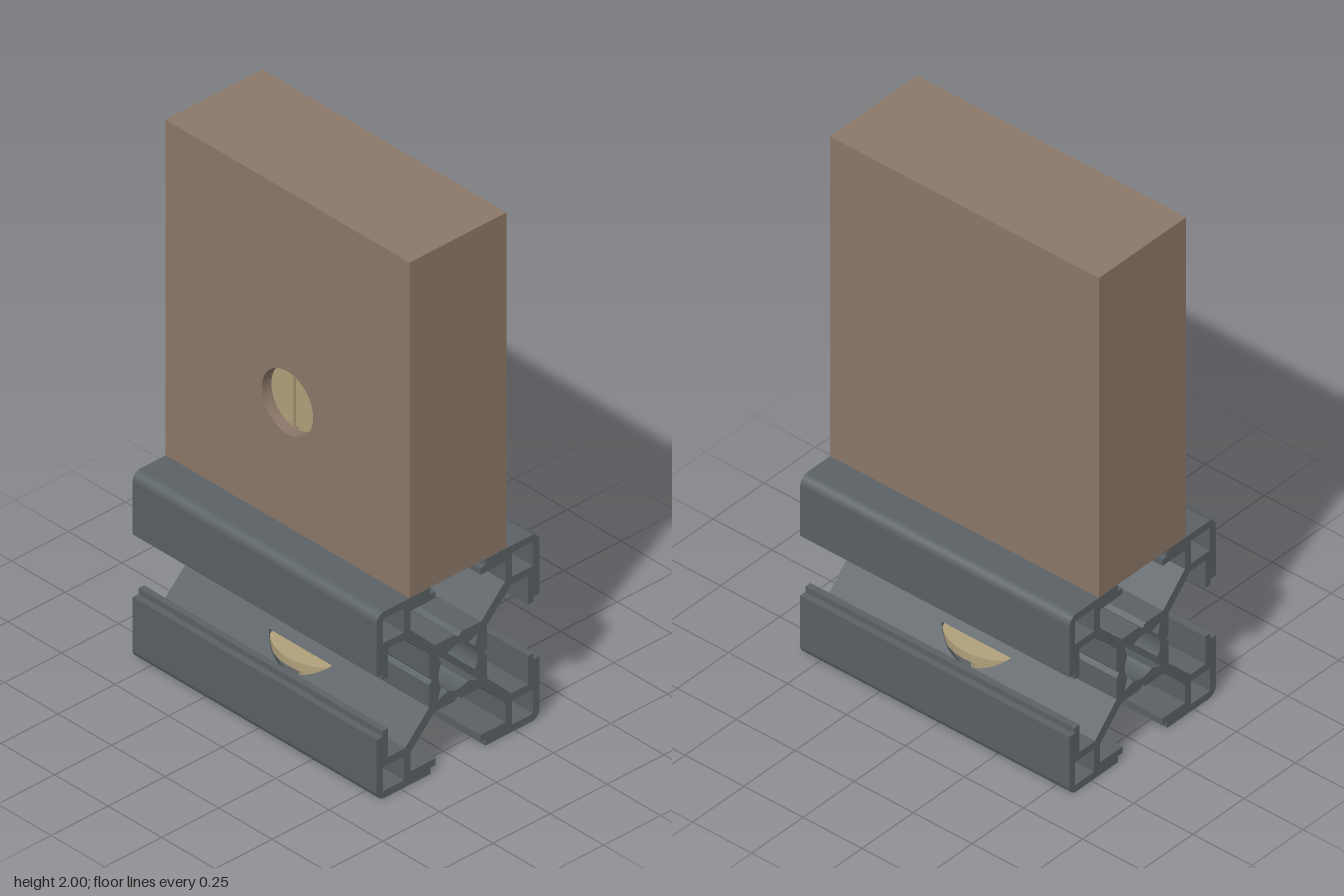
import * as THREE from 'three';

const L = 0.57;      // half length along z
const H = 0.357;     // half width of the extruded rail
const R = 0.205;     // counterbore radius

const material = (name, color) => {
  const m = new THREE.MeshStandardMaterial({ color });
  m.name = name;
  return m;
};

const shapeOf = pts => new THREE.Shape(pts.map(([x, y]) => new THREE.Vector2(x, y)));

// Extrude centred on the shape's plane
const extrude = (shape, depth) =>
  new THREE.ExtrudeGeometry(shape, { depth, bevelEnabled: false, curveSegments: 16 })
    .translate(0, 0, -depth / 2);

const squareLoop = (a, b) => [[a, a], [b, a], [b, b], [a, b]];

export function createModel() {
  const model = new THREE.Group();
  const wood = material('brown', 0x8b7768);
  const metal = material('slate grey', 0x5a6164);
  const brass = material('pale brass', 0xb0a17b);

  const add = (parent, name, geometry, mat) => {
    const mesh = new THREE.Mesh(geometry, mat);
    mesh.name = name;
    parent.add(mesh);
    return mesh;
  };

  // Slotted rail, built around its own axis
  const rail = new THREE.Group();
  rail.name = 'slottedRail';
  rail.position.y = H;
  model.add(rail);

  // Hub: square with a small groove on each side and a star-like bore
  const outer = [], bore = [];
  for (let k = 0; k < 4; k++) {
    const c = Math.cos(k * Math.PI / 2), s = Math.sin(k * Math.PI / 2);
    for (const [x, y] of [[0.127, -0.1], [0.127, -0.015], [0.114, 0], [0.127, 0.015], [0.127, 0.1], [0.1, 0.127]])
      outer.push([x * c - y * s, x * s + y * c]);
    for (let i = -4; i <= 4; i++) {
      const a = k * Math.PI / 2 + i * 0.135;
      bore.push([0.086 * Math.cos(a), 0.086 * Math.sin(a)]);
    }
    const d = k * Math.PI / 2 + Math.PI / 4;
    bore.push([0.125 * Math.cos(d), 0.125 * Math.sin(d)]);
  }
  const hub = shapeOf(outer);
  hub.holes.push(shapeOf(bore));
  add(rail, 'hub', extrude(hub, 2 * L), metal);

  // Hollow corner with a rounded outer edge
  const corner = new THREE.Shape();
  const a = 0.208, r = 0.035;
  corner.moveTo(a, a);
  corner.lineTo(H, a);
  corner.lineTo(H, H - r);
  corner.absarc(H - r, H - r, r, 0, Math.PI / 2, false);
  corner.lineTo(a, H);
  corner.closePath();
  corner.holes.push(shapeOf(squareLoop(0.237, 0.329)));
  const cornerGeometry = extrude(corner, 2 * L);

  // Diagonal web; the lower pair is cut by the counterbore
  const webGeometry = cut => {
    const web = shapeOf([[0.135, -L], [0.31, -L], [0.31, L], [0.135, L]]);
    if (cut) {
      const x0 = 0.142, zc = Math.sqrt(R * R - x0 * x0), hole = [];
      for (let i = 0; i <= 20; i++) {
        const z = zc * (i / 10 - 1);
        hole.push([Math.SQRT2 * Math.sqrt(R * R - z * z), z]);
      }
      web.holes.push(shapeOf(hole));
    }
    return extrude(web, 0.036).rotateX(Math.PI / 2);
  };

  // Slot lip layer, drawn in plan with an optional round cut
  const lipGeometry = (x0, y, cut) => {
    const pts = [[x0, -L], [0.22, -L], [0.22, L], [x0, L]];
    if (cut) {
      const zc = Math.sqrt(R * R - x0 * x0);
      for (let i = 0; i <= 24; i++) {
        const z = zc * (1 - i / 12);
        pts.push([Math.sqrt(R * R - z * z), z]);
      }
    }
    return extrude(shapeOf(pts), 0.025).rotateX(Math.PI / 2).translate(0, y, 0);
  };

  for (let k = 0; k < 4; k++) {
    const turn = k * Math.PI / 2;
    add(rail, 'railCorner', cornerGeometry, metal).rotation.z = turn;
    add(rail, 'diagonalWeb', webGeometry(k >= 2), metal).rotation.z = turn + Math.PI / 4;
    // Two lips per side; k = 0 is the underside
    const side = new THREE.Group();
    side.name = 'slotLips';
    side.rotation.z = turn;
    rail.add(side);
    for (const flip of [0, Math.PI]) {
      add(side, 'outerLip', lipGeometry(0.12, -H + 0.0125, k === 0), metal).rotation.y = flip;
      add(side, 'innerLip', lipGeometry(0.098, -H + 0.0375, k === 0), metal).rotation.y = flip;
    }
  }

  // Upright block: solid core plus a side layer with a round recess
  const block = new THREE.Group();
  block.name = 'uprightBlock';
  model.add(block);
  const y0 = 2 * H + 0.001, half = 0.213, depth = 0.06, holeY = 1.19;
  add(block, 'blockCore', new THREE.BoxGeometry(2 * half - depth, 2 - y0, 2 * L)
    .translate(depth / 2, (2 + y0) / 2, 0), wood);
  const layer = shapeOf([[-L, y0], [L, y0], [L, 2], [-L, 2]]);
  const recess = new THREE.Path();
  recess.absarc(0, holeY, 0.12, 0, 2 * Math.PI, true);
  layer.holes.push(recess);
  add(block, 'recessedSide', new THREE.ExtrudeGeometry(layer, { depth, bevelEnabled: false, curveSegments: 32 })
    .rotateY(-Math.PI / 2).translate(-half + depth, 0, 0), wood);

  // Slotted cross nut inside the recess
  const nut = new THREE.Group();
  nut.name = 'crossNut';
  nut.position.set(-half + depth, holeY, 0);
  model.add(nut);
  add(nut, 'nutBody', new THREE.CylinderGeometry(0.118, 0.118, 0.02, 32).rotateZ(Math.PI / 2), brass);
  for (const flip of [0, Math.PI]) {
    const seg = new THREE.Shape();
    seg.absarc(0, 0, 0.118, -1.45, 1.45, false);
    add(nut, 'nutFace', new THREE.ExtrudeGeometry(seg, { depth: 0.02, bevelEnabled: false })
      .rotateZ(flip).rotateY(-Math.PI / 2), brass);
  }

  // Socket bolt and washer
  const bolt = new THREE.Group();
  bolt.name = 'bolt';
  model.add(bolt);
  const rod = (name, radius, low, high) =>
    add(bolt, name, new THREE.CylinderGeometry(radius, radius, high - low, 32)
      .translate(0, (low + high) / 2, 0), brass);
  rod('shaft', 0.071, 0.12, 1.1);
  rod('washer', 0.213, 0.183, 0.214);
  rod('headTop', 0.119, 0.11, 0.183);
  const head = new THREE.Shape();
  head.absarc(0, 0, 0.119, 0, 2 * Math.PI, false);
  const socket = [];
  for (let i = 0; i < 6; i++) socket.push([0.064 * Math.cos(i * Math.PI / 3), 0.064 * Math.sin(i * Math.PI / 3)]);
  head.holes.push(shapeOf(socket));
  add(bolt, 'socketHead', extrude(head, 0.075).rotateX(Math.PI / 2).translate(0, 0.0725, 0), brass);

  return model;
}
